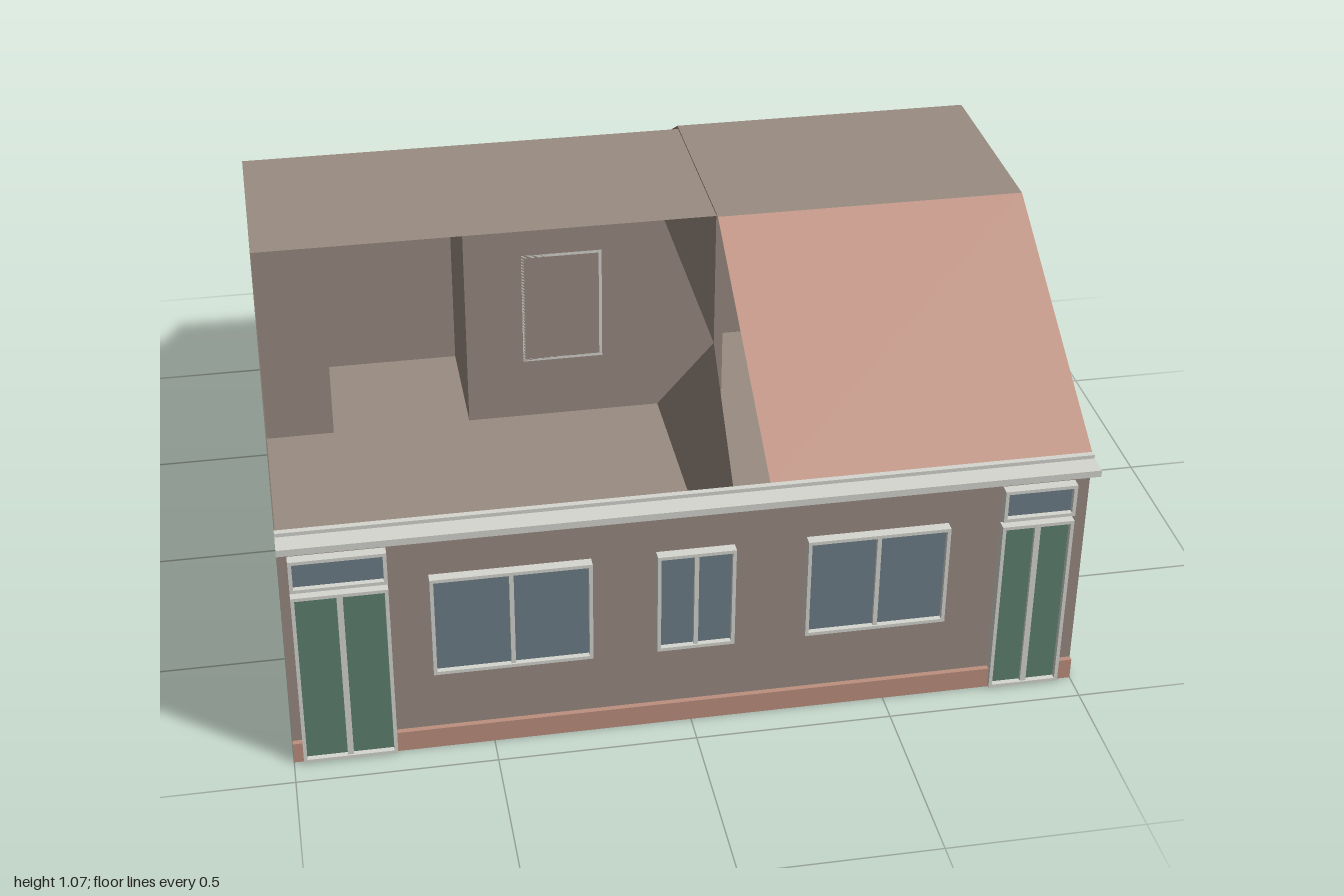
import * as THREE from 'three';

const mat = (name, color, side = THREE.FrontSide) => {
  const m = new THREE.MeshStandardMaterial({ color, side });
  m.name = name;
  return m;
};

export function createModel() {
  const group = new THREE.Group();
  const wall = mat('taupe wall', 0x9a8c82, THREE.DoubleSide);
  const clay = mat('clay red', 0xbd8f7e, THREE.DoubleSide);
  const trim = mat('off-white trim', 0xd6d7d0);
  const glass = mat('blue grey glass', 0x6c7e87);
  const green = mat('door green', 0x5f8071);

  const add = (name, geo, material, parent = group) => {
    const mesh = new THREE.Mesh(geo, material);
    mesh.name = name;
    parent.add(mesh);
    return mesh;
  };
  // Thin convex panel from its corners
  const panel = (name, pts, material = wall) => {
    const geo = new THREE.BufferGeometry();
    const tri = [];
    for (let i = 1; i < pts.length - 1; i++) tri.push(...pts[0], ...pts[i], ...pts[i + 1]);
    geo.setAttribute('position', new THREE.Float32BufferAttribute(tri, 3));
    geo.computeVertexNormals();
    return add(name, geo, material);
  };
  // Box from its two extreme corners
  const box = (name, [x0, y0, z0], [x1, y1, z1], material, parent) =>
    add(name, new THREE.BoxGeometry(x1 - x0, y1 - y0, z1 - z0)
      .translate((x0 + x1) / 2, (y0 + y1) / 2, (z0 + z1) / 2), material, parent);
  // Upright panel in a plane of constant x, corners as [z, y]
  const sidePanel = (name, x, pts) => panel(name, pts.map(([z, y]) => [x, y, z]));
  // Upright panel in a plane of constant z, facing the back
  const backPanel = (name, x0, x1, z, top) =>
    panel(name, [[x1, 0, z], [x0, 0, z], [x0, top, z], [x1, top, z]]);

  const F = 0.91, B = -0.59, E = -0.98;           // front, back and extension depth
  const EAVE = 0.68, MID = 0.903, TOP = 1.065;    // heights
  const RF = 0.24, RB = -0.305, SPLIT = 0.19;     // flat roof limits, party line

  // Shell walls and floor
  panel('frontWall', [[-1, 0, F], [1, 0, F], [1, EAVE, F], [-1, EAVE, F]]);
  panel('floor', [[-1, 0, F], [-1, 0, B], [1, 0, B], [1, 0, F]]);
  const gable = [[F, 0], [B, 0], [B, MID], [RB, TOP], [RF, TOP], [F, EAVE]];
  sidePanel('leftGable', 1, gable);
  sidePanel('rightGable', -1, gable.slice().reverse());
  for (const [x0, x1] of [[-1, -0.8], [-0.39, 0.39], [0.8, 1]]) backPanel('backWall', x0, x1, B, MID);

  // Partial party wall under the edge of the finished roof
  sidePanel('partyWallUpper', SPLIT, [[B, EAVE], [B, MID], [RB, TOP], [0.22, TOP], [0.22, EAVE]]);
  sidePanel('partyWallLower', SPLIT, [[B, 0], [0.22, EAVE], [F, 0]]);

  // Roof
  panel('flatRoofRight', [[-1, 1.06, 0.225], [SPLIT, 1.06, 0.225], [SPLIT, 1.06, RB], [-1, 1.06, RB]]);
  panel('flatRoofLeft', [[SPLIT, TOP, RF], [1, TOP, RF], [1, TOP, -0.315], [SPLIT, TOP, -0.315]]);
  panel('frontRoofSlope', [[SPLIT, EAVE, F], [1, EAVE, F], [1, TOP, RF], [SPLIT, TOP, RF]], clay);
  panel('backRoofSlope', [[1, MID, B], [SPLIT, MID, B], [SPLIT, TOP, -0.315], [1, TOP, -0.315]], clay);

  // Rear extensions, open towards the house
  for (const [x0, x1] of [[-0.8, -0.39], [0.39, 0.8]]) {
    const profile = [[B, 0], [E, 0], [E, EAVE], [B, MID]];
    sidePanel('extensionLeftWall', x1, profile);
    sidePanel('extensionRightWall', x0, profile.slice().reverse());
    backPanel('extensionBackWall', x0, x1, E, EAVE);
    panel('extensionFloor', [[x0, 0, B], [x0, 0, E], [x1, 0, E], [x1, 0, B]]);
    panel('extensionRoof', [[x0, MID, B], [x1, MID, B], [x1, EAVE, E], [x0, EAVE, E]], clay);
  }

  // Plinth between the doors and at the corners, eaves moulding
  for (const [x0, x1] of [[-1, -0.975], [-0.745, 0.78], [0.96, 1]])
    box('plinth', [x0, 0, F], [x1, 0.057, 0.924], clay);
  box('eavesBoard', [-1, 0.658, F], [1, 0.676, 0.98], trim);
  box('eavesLip', [-1, 0.676, F], [1, 0.686, 0.925], trim);

  // Framed opening facing +z from its own origin plane, split by an optional mullion
  const opening = (name, x0, x1, y0, y1, fill, mullion = 0, depth = 0.026) => {
    const g = new THREE.Group();
    g.name = name;
    const t = 0.009;
    box('pane', [x0 + t, y0 + t, 0.004], [x1 - t, y1 - t, 0.012], fill, g);
    const rect = (P, d) => {
      const p = new P();
      p.moveTo(x0 + d, y0 + d);
      p.lineTo(x1 - d, y0 + d);
      p.lineTo(x1 - d, y1 - d);
      p.lineTo(x0 + d, y1 - d);
      p.closePath();
      return p;
    };
    const shape = rect(THREE.Shape, 0);
    shape.holes.push(rect(THREE.Path, t));
    add('frame', new THREE.ExtrudeGeometry(shape, { depth, bevelEnabled: false }), trim, g);
    if (mullion) {
      const c = (x0 + x1) / 2;
      box('mullion', [c - mullion / 2, y0 + t, 0.004], [c + mullion / 2, y1 - t, depth - 0.004], trim, g);
    }
    g.position.z = F;
    group.add(g);
    return g;
  };

  // Shop front windows
  for (const [x0, x1] of [[-0.645, -0.25], [-0.09, 0.105], [0.285, 0.645]])
    opening('frontWindow', x0, x1, 0.233, 0.516, glass, 0.011);
  // Double doors with transom lights
  for (const [x0, x1] of [[-0.976, -0.743], [0.778, 0.962]]) {
    opening('door', x0, x1, 0.004, 0.503, green, 0.015);
    opening('transomWindow', x0, x1, 0.518, 0.608, glass);
  }
  // Rear window, turned to face the back
  const rear = opening('rearWindow', -0.02, 0.22, 0.19, 0.55, glass, 0, 0.014);
  rear.rotation.y = Math.PI;
  rear.position.z = B;

  return group;
}
